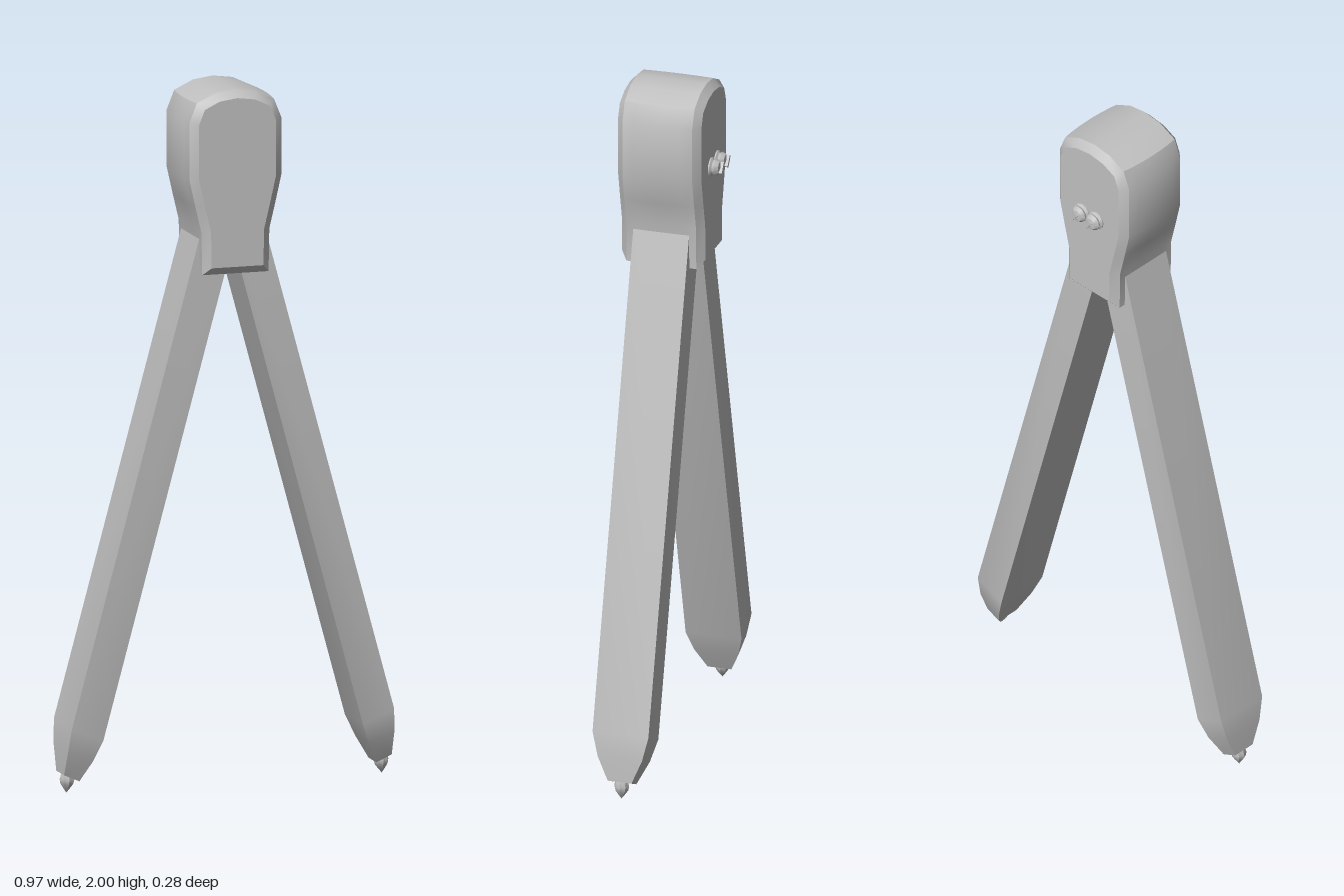
import * as THREE from 'three';
import { toCreasedNormals } from 'three/addons/utils/BufferGeometryUtils.js';

const MID_Z = 0.018; // depth centre of the head and legs

// Loft four-cornered sections: [outerX, outerY, innerX, innerY, halfDepth]
function loftLeg(sections, side) {
  const pos = [];
  const idx = [];
  for (const [ox, oy, ix, iy, h] of sections) {
    pos.push(ox * side, oy, MID_Z + h, ox * side, oy, MID_Z - h);
    pos.push(ix * side, iy, MID_Z - h, ix * side, iy, MID_Z + h);
  }
  const quad = (a, b, c, d) => {
    if (side > 0) idx.push(a, b, c, a, c, d);
    else idx.push(a, c, b, a, d, c);
  };
  for (let s = 0; s < sections.length - 1; s++) {
    for (let k = 0; k < 4; k++) {
      const a = s * 4 + k;
      const b = s * 4 + (k + 1) % 4;
      quad(a, a + 4, b + 4, b);
    }
  }
  const e = (sections.length - 1) * 4;
  quad(0, 1, 2, 3);
  quad(e + 3, e + 2, e + 1, e);
  const g = new THREE.BufferGeometry();
  g.setAttribute('position', new THREE.Float32BufferAttribute(pos, 3));
  g.setIndex(idx);
  return toCreasedNormals(g, 0.5);
}

// Waisted head block with an arched top, bevelled front and back, bulging sides
function headGeometry() {
  const inset = 0.022;
  const half = [[0.098, 1.482], [0.1, 1.6], [0.118, 1.675], [0.135, 1.75], [0.135, 1.93], [0.118, 1.972], [0.06, 1.993]];
  const inner = half.map(([x, y]) => [x - (y < 1.98 ? inset : 0.008), y < 1.5 ? y + 0.015 : y > 1.9 ? y - inset : y]);
  const shape = new THREE.Shape();
  inner.forEach(([x, y], i) => (i ? shape.lineTo(x, y) : shape.moveTo(x, y)));
  shape.lineTo(0, 2 - inset);
  [...inner].reverse().forEach(([x, y]) => shape.lineTo(-x, y));
  shape.closePath();
  const g = new THREE.ExtrudeGeometry(shape, {
    depth: 0.205, steps: 6, bevelEnabled: true, bevelThickness: 0.02, bevelSize: inset, bevelSegments: 1,
  });
  g.translate(0, 0, -0.1025);
  const p = g.attributes.position;
  for (let i = 0; i < p.count; i++) {
    const t = Math.max(0, 1 - (p.getZ(i) / 0.1025) ** 2);
    const high = THREE.MathUtils.smoothstep(p.getY(i), 1.58, 1.76);
    p.setX(i, p.getX(i) * (1 + 0.07 * t * high));
  }
  g.translate(0, 0, MID_Z);
  return toCreasedNormals(g, 0.5);
}

export function createModel() {
  const group = new THREE.Group();
  const grey = new THREE.MeshStandardMaterial({ color: 0xc0c0c0 });
  grey.name = 'plain grey';

  const add = (name, geometry, parent = group) => {
    const mesh = new THREE.Mesh(geometry, grey);
    mesh.name = name;
    parent.add(mesh);
    return mesh;
  };

  add('head', headGeometry());

  // Splayed legs with tapered ends
  const sections = [
    [0.06, 1.72, -0.035, 1.69, 0.082],
    [0.474, 0.2, 0.382, 0.16, 0.082],
    [0.48, 0.13, 0.407, 0.1, 0.065],
    [0.482, 0.06, 0.437, 0.04, 0.035],
  ];
  const tipProfile = [[0, 0], [0.009, 0.012], [0.019, 0.026], [0.022, 0.038], [0.018, 0.055], [0, 0.06]]
    .map(([r, y]) => new THREE.Vector2(r, y));

  for (const side of [1, -1]) {
    const label = side > 0 ? 'left' : 'right';
    add(label + 'Leg', loftLeg(sections, side));

    // Pointed foot
    const foot = add(label + 'FootTip', toCreasedNormals(new THREE.LatheGeometry(tipProfile, 8), 0.5));
    foot.position.set(0.464 * side, 0.003, MID_Z);
    foot.rotation.z = 0.06 * side;

    // Small screw knob on the back of the head
    const knob = new THREE.Group();
    knob.name = label + 'Knob';
    knob.position.set(0.027 * side, 1.76, -0.1);
    knob.rotation.x = -Math.PI / 2;
    group.add(knob);
    const knobProfile = [[0.027, 0], [0.028, 0.008], [0.021, 0.013], [0.025, 0.02], [0.018, 0.031], [0, 0.035]]
      .map(([r, y]) => new THREE.Vector2(r, y));
    add('knobBody', toCreasedNormals(new THREE.LatheGeometry(knobProfile, 12), 0.6), knob);
    const ridge = add('knobRidge', new THREE.BoxGeometry(0.034, 0.016, 0.009), knob);
    ridge.position.y = 0.033;
    ridge.rotation.y = 0.9;
  }
  return group;
}
